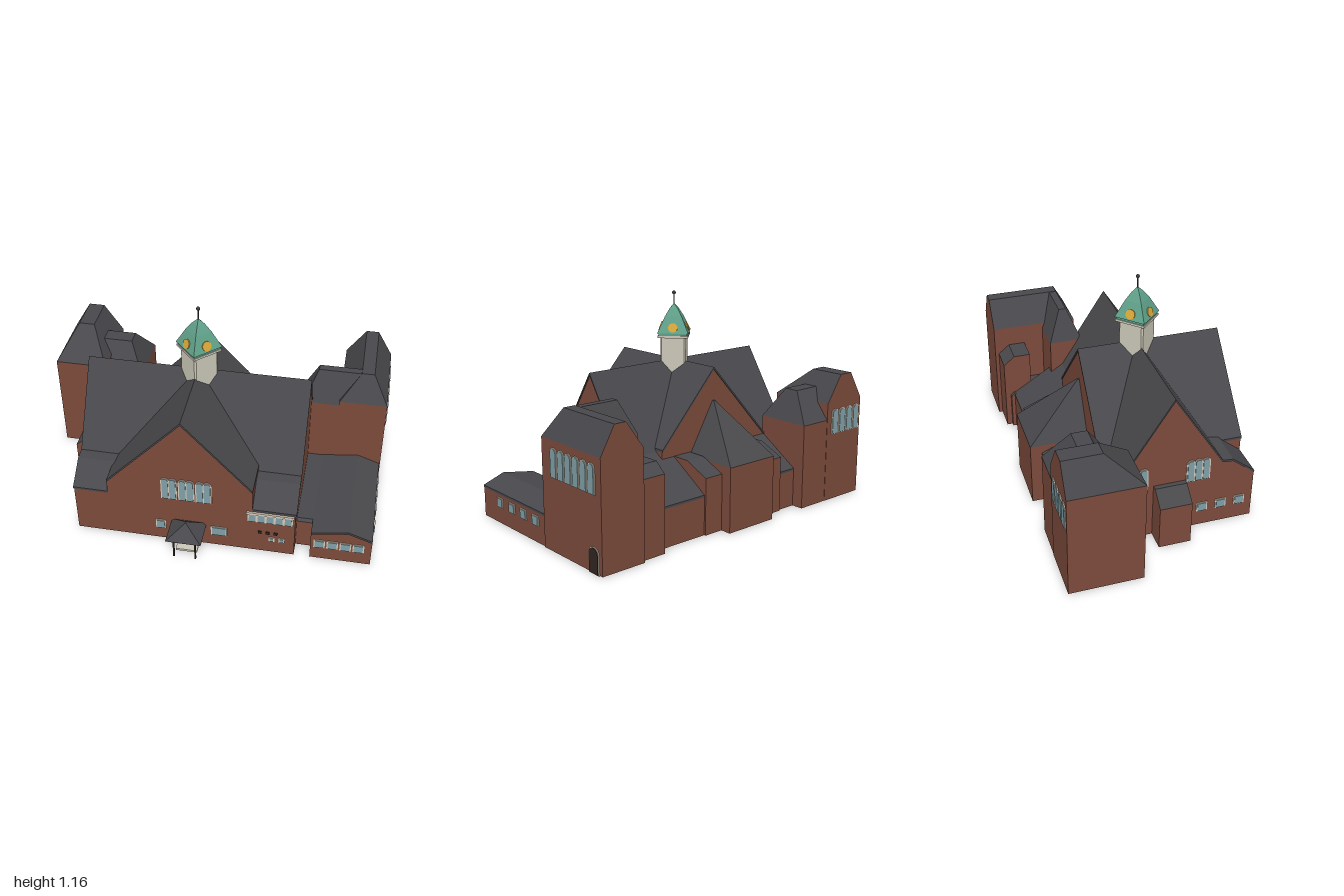
import * as THREE from 'three';

const mat = color => new THREE.MeshStandardMaterial({ color, flatShading: true, side: THREE.DoubleSide });
const BRICK = mat(0x7b4a3b), ROOF = mat(0x48484c), GLASS = mat(0x7f9ea6), FRAME = mat(0xd3c9b8),
  WOOD = mat(0x33261f), STONE = mat(0xcbc7b8), COPPER = mat(0x5f9f88), GOLD = mat(0xd8a63a), IRON = mat(0x3a3d40);

function add(parent, name, geo, material, x = 0, y = 0, z = 0) {
  const m = new THREE.Mesh(geo, material);
  m.name = name;
  m.position.set(x, y, z);
  parent.add(m);
  return m;
}

function box(parent, name, x0, x1, y0, y1, z0, z1, material = BRICK) {
  return add(parent, name, new THREE.BoxGeometry(x1 - x0, y1 - y0, z1 - z0), material,
    (x0 + x1) / 2, (y0 + y1) / 2, (z0 + z1) / 2);
}

// Keep only the upright faces, so that walls form an open shell under the roof
function wallsOnly(source) {
  const p = (source.index ? source.toNonIndexed() : source).attributes.position;
  const kept = [], tri = new THREE.Triangle(), n = new THREE.Vector3();
  for (let i = 0; i < p.count; i += 3) {
    tri.setFromAttributeAndIndices(p, i, i + 1, i + 2);
    tri.getNormal(n);
    if (Math.abs(n.y) < 0.1) for (const v of [tri.a, tri.b, tri.c]) kept.push(v.x, v.y, v.z);
  }
  const geo = new THREE.BufferGeometry();
  geo.setAttribute('position', new THREE.Float32BufferAttribute(kept, 3));
  geo.computeVertexNormals();
  return geo;
}

// Extrude a cross-section along x (section is z,y) or along z (section is x,y)
function extrude(pts, axis, from, to) {
  const shape = new THREE.Shape(pts.map(p => new THREE.Vector2(...p)));
  const geo = new THREE.ExtrudeGeometry(shape, { depth: to - from, bevelEnabled: false });
  return axis === 'x' ? geo.rotateY(-Math.PI / 2).translate(to, 0, 0) : geo.translate(0, 0, from);
}

// Brick shell under a roof skin that follows the top line of the section
function house(parent, name, line, axis, from, to, foot = 0) {
  const first = line[0], last = line[line.length - 1];
  const section = [[first[0], foot], ...line, [last[0], foot]];
  add(parent, name + 'Walls', wallsOnly(extrude(section, axis, from, to)), BRICK);
  const upper = line.map(([a, y]) => [a, y + 0.012]).reverse();
  add(parent, name + 'Roof', extrude([...line, ...upper], axis, from - 0.005, to + 0.005), ROOF);
}

// Hipped roof between two level rectangles [x0, x1, z0, z1]; upright ends become brick
function hipRoof(parent, name, base, y0, top, y1) {
  const ring = ([a, b, c, d], y) => [[a, y, d], [b, y, d], [b, y, c], [a, y, c]].map(p => new THREE.Vector3(...p));
  const lo = ring(base, y0), hi = ring(top, y1), slopes = [], ends = [];
  const quad = (a, b, c, d, out) => [a, b, c, a, c, d].forEach(p => out.push(p.x, p.y, p.z));
  for (let i = 0; i < 4; i++) {
    const j = (i + 1) % 4;
    const upright = i % 2 ? lo[i].x === hi[i].x : lo[i].z === hi[i].z;
    quad(lo[i], lo[j], hi[j], hi[i], upright ? ends : slopes);
  }
  quad(hi[0], hi[1], hi[2], hi[3], slopes);
  for (const [arr, m, suffix] of [[slopes, ROOF, 'Roof'], [ends, BRICK, 'Gable']]) {
    if (!arr.length) continue;
    const geo = new THREE.BufferGeometry();
    geo.setAttribute('position', new THREE.Float32BufferAttribute(arr, 3));
    geo.computeVertexNormals();
    add(parent, name + suffix, geo, m);
  }
}

function hippedBlock(parent, name, base, y0, top, y1) {
  const [a, b, c, d] = base;
  const walls = box(parent, name + 'Walls', a, b, 0, y0, c, d);
  walls.geometry = wallsOnly(walls.geometry);
  hipRoof(parent, name, base, y0, top, y1);
}

// Framed window or door on a wall facing sw, se, ne or nw
const TURN = { sw: 0, se: Math.PI / 2, ne: Math.PI, nw: -Math.PI / 2 };
function opening(parent, name, face, plane, along, y, w, h, arched, pane = GLASS) {
  const slab = (w, h, depth) => {
    const s = new THREE.Shape();
    s.moveTo(-w / 2, 0).lineTo(w / 2, 0);
    if (arched) s.lineTo(w / 2, h - w / 2).absarc(0, h - w / 2, w / 2, 0, Math.PI, false);
    else s.lineTo(w / 2, h).lineTo(-w / 2, h);
    return new THREE.ExtrudeGeometry(s, { depth, bevelEnabled: false, curveSegments: 6 });
  };
  const g = new THREE.Group();
  g.name = name;
  add(g, 'frame', slab(w + 0.012, h + 0.008, 0.004), FRAME, 0, -0.003, 0);
  add(g, 'pane', slab(w, h, 0.007), pane);
  g.rotation.y = TURN[face];
  if (face === 'sw' || face === 'ne') g.position.set(along, y, plane);
  else g.position.set(plane, y, along);
  parent.add(g);
}

function buildMain(p) {
  // Crossing nave and transept, with lean-to aisles
  house(p, 'nave', [[0.59, 0.27], [0.47, 0.365], [0.415, 0.37], [0.153, 0.775], [-0.105, 0.375], [-0.38, 0.2]], 'x', -0.695, 0.435);
  house(p, 'transept', [[-0.52, 0.35], [-0.13, 0.775], [0.22, 0.394]], 'z', -0.15, 0.59, 0.27);
  // Apse and its side chapels
  hippedBlock(p, 'apse', [-0.28, 0.03, -0.45, -0.15], 0.345, [-0.135, -0.125, -0.16, -0.15], 0.61);
  for (const [a, b] of [[-0.4, -0.28], [0.03, 0.14]])
    hippedBlock(p, 'chapel', [a, b, -0.39, -0.15], 0.3, [a, b, -0.25, -0.15], 0.36);

  // Entrance front
  for (const x of [-0.2, -0.112, -0.025])
    for (const dx of [-0.019, 0.019]) opening(p, 'gableWindow', 'sw', 0.59, x + dx, 0.29, 0.032, 0.13, true);
  for (let i = 0; i < 5; i++) opening(p, 'galleryWindow', 'sw', 0.59, 0.22 + i * 0.045, 0.205, 0.034, 0.05, false);
  box(p, 'gallerySill', 0.19, 0.43, 0.255, 0.268, 0.59, 0.6, FRAME);
  for (const [x, w] of [[-0.25, 0.04], [0.05, 0.07]]) opening(p, 'lowWindow', 'sw', 0.59, x, 0.075, w, 0.05, false);
  for (const x of [0.25, 0.29, 0.33]) box(p, 'slot', x, x + 0.018, 0.125, 0.14, 0.589, 0.596, WOOD);
  for (const x of [0.32, 0.37]) opening(p, 'ventWindow', 'sw', 0.59, x, 0.08, 0.018, 0.02, false);
  opening(p, 'mainDoor', 'sw', 0.59, -0.11, 0, 0.1, 0.13, false, WOOD);

  // Open entrance canopy with steps
  hipRoof(p, 'canopy', [-0.195, -0.015, 0.575, 0.735], 0.13, [-0.106, -0.104, 0.65, 0.66], 0.2);
  for (const x of [-0.16, -0.05]) box(p, 'canopyPost', x - 0.004, x + 0.004, 0, 0.14, 0.7, 0.708, WOOD);
  box(p, 'step', -0.16, -0.05, 0, 0.012, 0.59, 0.665, STONE);

  // North-west gable: windows and little side porch
  for (const z of [-0.03, 0.29])
    for (const dz of [-0.04, 0, 0.04]) opening(p, 'sideWindow', 'nw', -0.695, z + dz, 0.29, 0.032, 0.12, true);
  for (const z of [0.32, 0.42, 0.52]) opening(p, 'sideLowWindow', 'nw', -0.695, z, 0.09, 0.045, 0.045, false);
  hippedBlock(p, 'sidePorch', [-0.8, -0.695, 0.06, 0.225], 0.235, [-0.72, -0.695, 0.06, 0.225], 0.3);
}

function buildHall(p) {
  // Tall L-shaped hall
  hippedBlock(p, 'hall', [0.58, 0.825, -0.45, 0.015], 0.56, [0.68, 0.745, -0.45, -0.06], 0.7);
  hippedBlock(p, 'hallWing', [0.39, 0.8, -0.17, 0.01], 0.53, [0.46, 0.74, -0.1, -0.06], 0.698);
  // Rooms closing the gap between hall and nave
  hippedBlock(p, 'courtRange', [0.44, 0.58, -0.43, -0.28], 0.4, [0.44, 0.58, -0.37, -0.28], 0.45);
  hippedBlock(p, 'courtLink', [0.42, 0.58, -0.4, -0.17], 0.2, [0.42, 0.58, -0.38, -0.17], 0.22);
  for (let i = 0; i < 6; i++) opening(p, 'hallWindow', 'se', 0.825, -0.085 - i * 0.059, 0.38, 0.042, 0.14, true);
  opening(p, 'hallDoor', 'se', 0.825, -0.39, 0, 0.065, 0.125, true, WOOD);

  // Low annex and the recessed link
  house(p, 'annex', [[0.515, 0.165], [0.7, 0.198], [0.82, 0.155]], 'z', 0.01, 0.589);
  hippedBlock(p, 'link', [0.43, 0.52, 0, 0.515], 0.165, [0.43, 0.52, 0, 0.5], 0.177);
  for (const z of [0.43, 0.317, 0.21, 0.1]) opening(p, 'annexWindow', 'se', 0.82, z, 0.09, 0.045, 0.045, false);
  for (const x of [0.56, 0.625, 0.69, 0.755]) opening(p, 'annexEndWindow', 'sw', 0.589, x, 0.08, 0.045, 0.045, false);
}

function buildNorthWing(p) {
  hippedBlock(p, 'northWing', [-0.975, -0.7, -0.447, -0.075], 0.55, [-0.885, -0.8, -0.447, -0.25], 0.7);
  hippedBlock(p, 'northLink', [-0.72, -0.515, -0.445, -0.14], 0.46, [-0.8, -0.59, -0.32, -0.24], 0.62);
  for (let i = 0; i < 4; i++) opening(p, 'northWindow', 'ne', -0.447, -0.935 + i * 0.058, 0.38, 0.042, 0.13, true);
}

// Clock tower over the crossing
function buildTower() {
  const g = new THREE.Group();
  g.name = 'clockTower';
  const w = 0.068, c = 0.008;
  const plan = new THREE.Shape([[-w + c, -w], [w - c, -w], [w, -w + c], [w, w - c], [w - c, w], [-w + c, w], [-w, w - c], [-w, -w + c]]
    .map(q => new THREE.Vector2(...q)));
  const shaft = new THREE.ExtrudeGeometry(plan, { depth: 0.26, bevelEnabled: false }).rotateX(-Math.PI / 2);
  add(g, 'shaft', shaft, STONE, 0, 0.66, 0);
  box(g, 'cornice', -0.08, 0.08, 0.91, 0.922, -0.08, 0.08, STONE);
  box(g, 'eave', -0.076, 0.076, 0.922, 0.938, -0.076, 0.076, COPPER);
  // Four-sided cap with gently bowed slopes
  const profile = [[0.083, 0.935], [0.067, 0.97], [0.045, 1.02], [0.022, 1.06], [0, 1.087]];
  const cap = new THREE.LatheGeometry(profile.map(([r, y]) => new THREE.Vector2(r * Math.SQRT2, y)), 4);
  add(g, 'cap', cap.rotateY(Math.PI / 4), COPPER);
  for (let i = 0; i < 4; i++) {
    const dial = new THREE.CylinderGeometry(0.025, 0.025, 0.012, 20).rotateX(Math.PI / 2 - 0.35).translate(0, 0.963, 0.069);
    add(g, 'clockDial', dial.rotateY(i * Math.PI / 2), GOLD);
  }
  add(g, 'spike', new THREE.CylinderGeometry(0.003, 0.004, 0.07, 8), IRON, 0, 1.11, 0);
  add(g, 'ball', new THREE.SphereGeometry(0.01, 12, 8), IRON, 0, 1.143, 0);
  g.position.set(-0.198, 0, 0.025);
  return g;
}

export function createModel() {
  const root = new THREE.Group();
  root.name = 'church';
  const building = new THREE.Group();
  building.name = 'building';
  building.rotation.y = -0.767;
  buildMain(building);
  buildHall(building);
  buildNorthWing(building);
  root.add(building, buildTower());
  return root;
}
